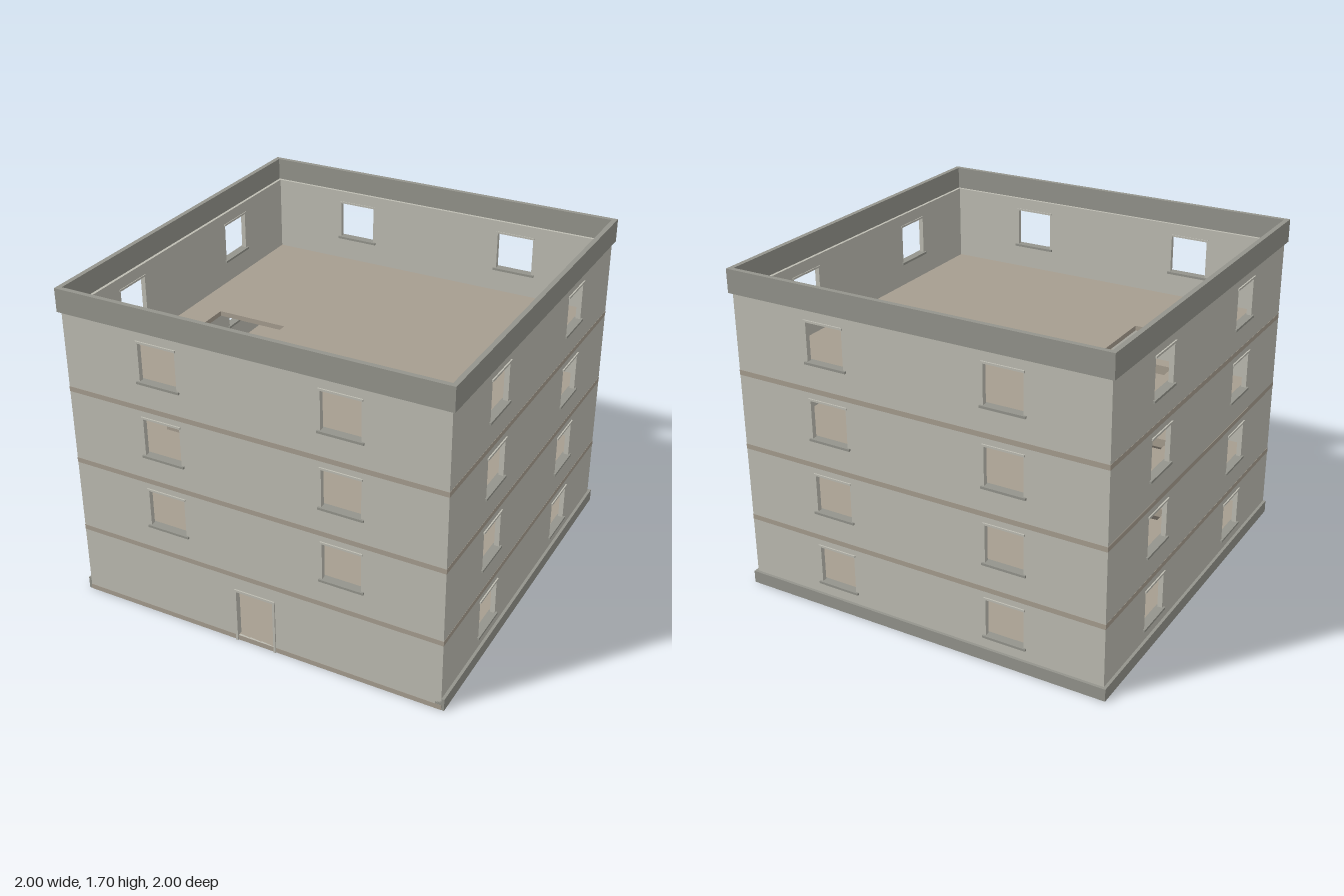
import * as THREE from 'three';

const mat = (color) => new THREE.MeshStandardMaterial({ color, flatShading: true });
const wallMat = mat(0xbdbcb2);
const trimMat = mat(0x94948c);
const slabMat = mat(0xa69d8f);
const doorMat = mat(0xb0703f);
const metalMat = mat(0x333333);

const OUT = 0.985, INN = 0.96, STOREY = 0.394, WALL_TOP = 1.58;
const WIN_X = [-0.47, 0.47], WIN_H = 0.2, WIN_W = 0.2;

// Box given by its minimum and maximum corners
function box(parent, name, material, x0, x1, y0, y1, z0, z1) {
  const m = new THREE.Mesh(new THREE.BoxGeometry(x1 - x0, y1 - y0, z1 - z0), material);
  m.position.set((x0 + x1) / 2, (y0 + y1) / 2, (z0 + z1) / 2);
  m.name = name;
  parent.add(m);
  return m;
}

function rectPath(x0, x1, y0, y1, Type = THREE.Path) {
  const p = new Type();
  p.moveTo(x0, y0);
  p.lineTo(x1, y0);
  p.lineTo(x1, y1);
  p.lineTo(x0, y1);
  p.closePath();
  return p;
}

function extrude(shape, depth) {
  return new THREE.ExtrudeGeometry(shape, { depth, bevelEnabled: false });
}

// One facade, built facing +z: pierced wall with sills and lintels
function facade(name, halfWidth, withDoor) {
  const g = new THREE.Group();
  g.name = name;
  const shape = rectPath(-halfWidth, halfWidth, 0, WALL_TOP, THREE.Shape);
  for (let floor = withDoor ? 1 : 0; floor < 4; floor++) {
    const y = 0.13 + floor * STOREY;
    for (const x of WIN_X) {
      const w = WIN_W / 2;
      shape.holes.push(rectPath(x - w, x + w, y, y + WIN_H));
      box(g, 'windowSill', trimMat, x - 0.115, x + 0.115, y - 0.01, y + 0.002, INN - 0.01, OUT + 0.01);
      box(g, 'windowLintel', wallMat, x - 0.108, x + 0.108, y + WIN_H, y + WIN_H + 0.01, INN - 0.004, OUT + 0.007);
    }
  }
  if (withDoor) {
    shape.holes.push(rectPath(-0.1, 0.1, 0.027, 0.29));
    for (const s of [-1, 1]) {
      const x = s * 0.106;
      box(g, 'doorJamb', wallMat, x - 0.006, x + 0.006, 0, 0.302, INN, OUT + 0.007);
    }
    box(g, 'doorHead', wallMat, -0.1, 0.1, 0.29, 0.302, INN, OUT + 0.007);
  }
  const wall = new THREE.Mesh(extrude(shape, OUT - INN), wallMat);
  wall.position.z = INN;
  wall.name = 'wall';
  g.add(wall);
  return g;
}

// Floor slab, optionally with a stairwell opening
function slab(y0, y1, stairwell) {
  const e = OUT + 0.001;
  const shape = rectPath(-e, e, -e, e, THREE.Shape);
  if (stairwell) shape.holes.push(rectPath(-0.795, -0.41, -0.455, 0.04));
  const geo = extrude(shape, y1 - y0).rotateX(-Math.PI / 2);
  const m = new THREE.Mesh(geo, slabMat);
  m.position.y = y0;
  m.name = 'floorSlab';
  return m;
}

// Straight flight climbing towards the back, with a sloping soffit
function stairFlight(y) {
  const g = new THREE.Group();
  g.name = 'stairFlight';
  const steps = 10, rise = 0.0365, tread = 0.0445;
  const profile = new THREE.Shape();
  profile.moveTo(0, 0);
  for (let i = 0; i < steps; i++) {
    profile.lineTo(i * tread, (i + 1) * rise);
    profile.lineTo((i + 1) * tread, (i + 1) * rise);
  }
  profile.lineTo(steps * tread, (steps - 1) * rise - 0.01);
  profile.lineTo(tread, 0);
  profile.closePath();
  // Profile runs along -z, width along x
  const geo = extrude(profile, 0.295).rotateY(Math.PI / 2);
  const flight = new THREE.Mesh(geo, slabMat);
  flight.position.set(-0.7525, 0, 0.56);
  flight.name = 'steps';
  g.add(flight);
  for (const x of [-0.755, -0.455]) {
    box(g, 'stairSidePanel', slabMat, x - 0.006, x + 0.006, 0.173, 0.247, 0.295, 0.565);
  }
  g.position.y = y;
  return g;
}

// Double door standing inside, with hinges and handles
function doubleDoor() {
  const g = new THREE.Group();
  g.name = 'doubleDoor';
  for (const s of [-1, 1]) {
    const x = s * 0.037;
    box(g, 'doorLeaf', doorMat, x - 0.0365, x + 0.0365, 0.027, 0.173, -0.005, 0.005);
    for (const y of [0.045, 0.155]) {
      box(g, 'hinge', metalMat, s * 0.072 - 0.002, s * 0.072 + 0.002, y - 0.006, y + 0.006, -0.007, 0.007);
    }
    box(g, 'handle', metalMat, s * 0.005 - 0.002, s * 0.005 + 0.002, 0.09, 0.102, -0.01, 0.01);
  }
  return g;
}

export function createModel() {
  const model = new THREE.Group();
  model.name = 'building';

  // Walls: front and back full width, sides fitted between them
  const sides = [
    ['frontFacade', OUT, true, 0],
    ['leftFacade', INN, false, Math.PI / 2],
    ['backFacade', OUT, false, Math.PI],
    ['rightFacade', INN, false, -Math.PI / 2],
  ];
  for (const [name, half, door, angle] of sides) {
    const f = facade(name, half, door);
    f.rotation.y = angle;
    model.add(f);
  }

  // Floors and stairs
  model.add(slab(0, 0.027, false));
  for (let i = 1; i < 4; i++) {
    model.add(slab(i * STOREY - 0.024, i * STOREY + 0.002, true));
    model.add(stairFlight((i - 1) * STOREY + 0.002));
  }
  model.add(doubleDoor());

  // Plinth along both sides and the back
  for (const s of [-1, 1]) {
    const x = s * 0.9775;
    box(model, 'sidePlinth', trimMat, x - 0.0225, x + 0.0225, 0, 0.065, -0.955, 0.985);
  }
  box(model, 'backPlinth', trimMat, -1, 1, 0, 0.065, -1, -0.955);

  // Parapet ring around the top
  const ring = rectPath(-1, 1, -1, 1, THREE.Shape);
  ring.holes.push(rectPath(-0.975, 0.975, -0.975, 0.975));
  const parapet = new THREE.Mesh(extrude(ring, 0.12).rotateX(-Math.PI / 2), trimMat);
  parapet.position.y = 1.575;
  parapet.name = 'parapet';
  model.add(parapet);

  return model;
}
